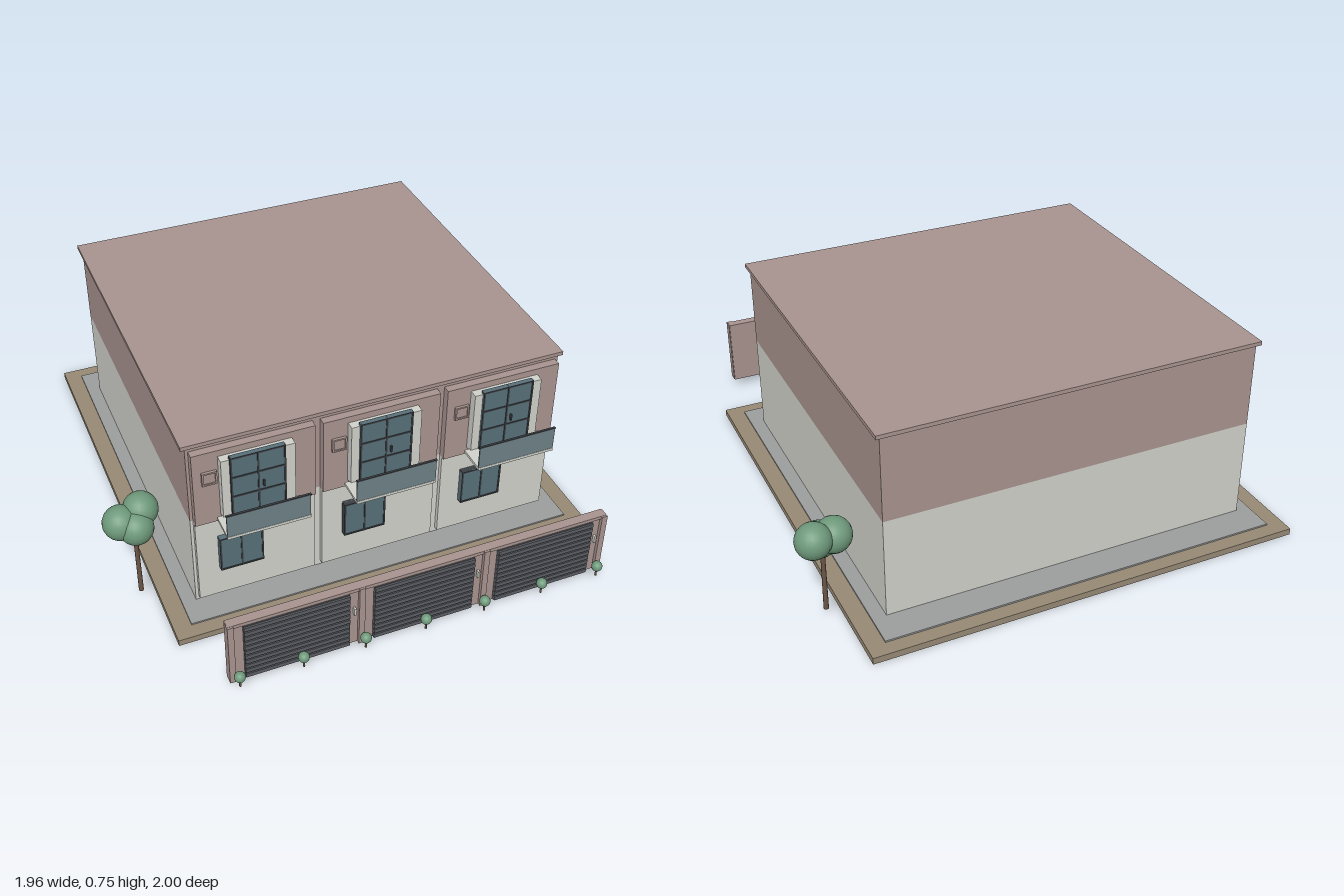
import * as THREE from 'three';

const mat = (color) => new THREE.MeshStandardMaterial({ color });
const M = {
  soil: mat(0x978a76), paving: mat(0x9c9e9d), pink: mat(0xa8948f), white: mat(0xd2d2cc),
  frame: mat(0x3c4044), glass: mat(0x587079), balcony: mat(0x6d8186), slat: mat(0x5c5e63),
  leaf: mat(0x6f9a7c), bark: mat(0x6b5546),
};

// Box given by its limits on each axis
function box(parent, name, m, x0, x1, y0, y1, z0, z1) {
  const mesh = new THREE.Mesh(new THREE.BoxGeometry(x1 - x0, y1 - y0, z1 - z0), m);
  mesh.position.set((x0 + x1) / 2, (y0 + y1) / 2, (z0 + z1) / 2);
  mesh.name = name;
  parent.add(mesh);
  return mesh;
}

function ball(parent, name, r, x, y, z) {
  const mesh = new THREE.Mesh(new THREE.SphereGeometry(r, 20, 14), M.leaf);
  mesh.position.set(x, y, z);
  mesh.name = name;
  parent.add(mesh);
}

function stem(parent, name, r, x, y0, y1, z) {
  const mesh = new THREE.Mesh(new THREE.CylinderGeometry(r * 0.85, r, y1 - y0, 10), M.bark);
  mesh.position.set(x, (y0 + y1) / 2, z);
  mesh.name = name;
  parent.add(mesh);
}

function group(parent, name, x = 0, y = 0, z = 0) {
  const g = new THREE.Group();
  g.name = name;
  g.position.set(x, y, z);
  parent.add(g);
  return g;
}

// Glazed panel with dark frame bars, split into columns and rows
function glazing(parent, name, x0, x1, y0, y1, z0, z1, cols, rows) {
  const g = group(parent, name);
  const b = 0.003;
  box(g, 'glass', M.glass, x0, x1, y0, y1, z0, z1 - 0.003);
  for (let i = 0; i <= cols; i++) {
    const x = x0 + b + ((x1 - x0 - 2 * b) * i) / cols;
    box(g, 'frameUpright', M.frame, x - b, x + b, y0, y1, z0, z1);
  }
  for (let i = 0; i <= rows; i++) {
    const y = y0 + b + ((y1 - y0 - 2 * b) * i) / rows;
    box(g, 'frameRail', M.frame, x0, x1, y - b, y + b, z0, z1 - 0.0005);
  }
  return g;
}

// Front of one house, centred on its own x = 0
function houseFront(parent, x) {
  const g = group(parent, 'houseFront', x);
  box(g, 'upperPanel', M.pink, -0.222, 0.222, 0.41, 0.72, 0.53, 0.568);
  box(g, 'lowerPanel', M.white, -0.222, 0.222, 0.05, 0.41, 0.53, 0.556);

  // Projecting door surround
  box(g, 'surround', M.white, -0.13, 0.135, 0.44, 0.695, 0.56, 0.6);
  const door = glazing(g, 'balconyDoor', -0.1, 0.098, 0.45, 0.706, 0.59, 0.61, 2, 3);
  box(door, 'handle', M.frame, 0.014, 0.02, 0.555, 0.58, 0.605, 0.616);

  // Balcony
  box(g, 'balconyFloor', M.white, -0.15, 0.152, 0.438, 0.449, 0.59, 0.7);
  box(g, 'balconyGlass', M.balcony, -0.15, 0.152, 0.449, 0.538, 0.693, 0.699);
  box(g, 'balconyRail', M.frame, -0.152, 0.154, 0.538, 0.543, 0.692, 0.7);

  // Ground floor window and wall vent
  glazing(g, 'window', -0.143, 0.018, 0.18, 0.328, 0.55, 0.58, 2, 1);
  const vent = group(g, 'wallVent');
  box(vent, 'ventCore', M.pink, -0.188, -0.14, 0.59, 0.638, 0.56, 0.573);
  for (const s of [-1, 1]) {
    const cx = -0.164, cy = 0.614;
    box(vent, 'ventRim', M.pink, cx + s * 0.024 - 0.003, cx + s * 0.024 + 0.003, 0.587, 0.641, 0.56, 0.578);
    box(vent, 'ventRim', M.pink, -0.191, -0.137, cy + s * 0.024 - 0.003, cy + s * 0.024 + 0.003, 0.56, 0.578);
  }
}

// Slatted gate of one house
function gate(parent, x) {
  const g = group(parent, 'gate', x);
  box(g, 'gatePanel', M.slat, -0.19, 0.19, 0.04, 0.285, 0.94, 0.952);
  const n = 11;
  const pitch = 0.245 / n;
  for (let i = 0; i < n; i++) {
    const y = 0.04 + i * pitch;
    box(g, 'slat', M.slat, -0.19, 0.19, y + 0.003, y + pitch - 0.003, 0.95, 0.959);
  }
  box(g, 'intercom', M.white, 0.207, 0.215, 0.18, 0.21, 0.94, 0.955);
}

function tree(parent, x, z, crowns) {
  const g = group(parent, 'tree');
  stem(g, 'trunk', 0.009, x, 0.035, crowns[2][1], z);
  for (const [cx, cy, cz] of crowns) ball(g, 'crown', 0.064, cx, cy, cz);
}

export function createModel() {
  const model = new THREE.Group();
  model.name = 'rowHouses';

  // Plot
  box(model, 'ground', M.soil, -0.822, 0.822, 0, 0.025, -1, 0.7);
  box(model, 'paving', M.paving, -0.757, 0.757, 0.02, 0.031, -0.945, 0.645);

  // Main block and roof
  box(model, 'lowerWalls', M.white, -0.705, 0.705, 0.03, 0.413, -0.826, 0.538);
  box(model, 'upperWalls', M.pink, -0.705, 0.705, 0.413, 0.735, -0.826, 0.538);
  box(model, 'roof', M.pink, -0.721, 0.721, 0.735, 0.75, -0.836, 0.545);

  for (const x of [-0.472, 0, 0.472]) {
    houseFront(model, x);
    gate(model, x);
  }

  // Street wall behind the gates, with posts and coping
  const wall = group(model, 'streetWall');
  box(wall, 'wallPanel', M.pink, -0.717, 0.717, 0.036, 0.3, 0.915, 0.943);
  for (const x of [-0.708, -0.236, 0.236, 0.708]) {
    box(wall, 'post', M.pink, x - 0.011, x + 0.011, 0.036, 0.3, 0.92, 0.957);
  }
  box(wall, 'coping', M.pink, -0.717, 0.717, 0.287, 0.301, 0.915, 0.95);

  // Shrubs along the street
  for (let i = -3; i <= 3; i++) {
    const g = group(model, 'shrub', i * 0.2305, 0, 0.98);
    stem(g, 'shrubStem', 0.004, 0, 0.036, 0.075, 0);
    ball(g, 'shrubCrown', 0.02, 0, 0.082, 0);
  }

  // Trees
  tree(model, -0.875, 0.42, [[-0.921, 0.377, 0.414], [-0.841, 0.398, 0.394], [-0.873, 0.36, 0.44]]);
  tree(model, 0.876, -0.71, [[0.835, 0.33, -0.712], [0.913, 0.346, -0.738], [0.878, 0.31, -0.69]]);

  return model;
}
